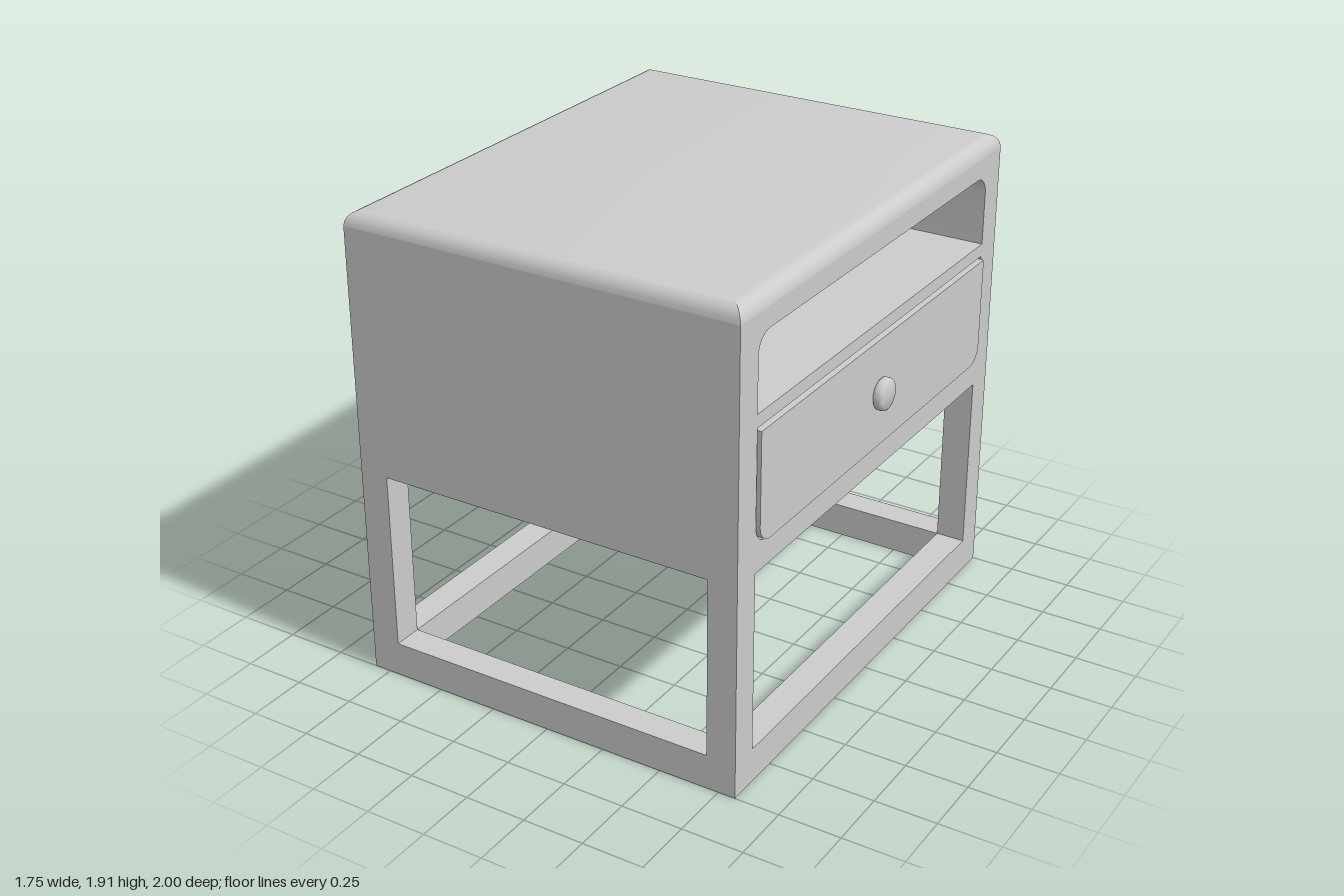
import * as THREE from 'three';
import { toCreasedNormals } from 'three/addons/utils/BufferGeometryUtils.js';

const W = 0.82, D = 1, H = 1.915;      // half width, half depth, height
const R = 0.06;                        // rounding of the top edges
const POST = 0.12, RAIL_H = 0.142, BODY_Y = 0.872;
const mat = new THREE.MeshStandardMaterial({ color: 0xcccccc });

function add(parent, name, geometry, x = 0, y = 0, z = 0) {
  const mesh = new THREE.Mesh(geometry, mat);
  mesh.name = name;
  mesh.position.set(x, y, z);
  parent.add(mesh);
  return mesh;
}

const box = (w, h, d) => new THREE.BoxGeometry(w, h, d);

// Rectangle centred on the vertical axis, with its top or bottom corners rounded
function panel(PathType, half, y0, y1, rBottom, rTop) {
  const p = new PathType();
  p.moveTo(-half + rBottom, y0);
  p.lineTo(half - rBottom, y0);
  if (rBottom) p.absarc(half - rBottom, y0 + rBottom, rBottom, -Math.PI / 2, 0);
  p.lineTo(half, y1 - rTop);
  if (rTop) p.absarc(half - rTop, y1 - rTop, rTop, 0, Math.PI / 2);
  p.lineTo(-half + rTop, y1);
  if (rTop) p.absarc(-half + rTop, y1 - rTop, rTop, Math.PI / 2, Math.PI);
  p.lineTo(-half, y0 + rBottom);
  if (rBottom) p.absarc(-half + rBottom, y0 + rBottom, rBottom, Math.PI, Math.PI * 1.5);
  return p;
}

// Extrude a z-y profile along x, centred on x = 0
function extrudeX(shape, depth) {
  const g = new THREE.ExtrudeGeometry(shape, { depth, bevelEnabled: false, curveSegments: 10 });
  g.translate(0, 0, -depth / 2);
  g.rotateY(Math.PI / 2);
  return toCreasedNormals(g, 0.5);
}

// Top cap: rectangular loops that shrink along a quarter circle, mitred at the corners
function topCap() {
  const pos = [], index = [], steps = 5;
  for (let i = 0; i <= steps; i++) {
    const a = (i / steps) * Math.PI / 2;
    const inset = R * (1 - Math.cos(a)), y = H - R + R * Math.sin(a);
    const x = W - inset, z = D - inset;
    pos.push(-x, y, z, x, y, z, x, y, -z, -x, y, -z);
  }
  for (let i = 0; i < steps; i++) {
    for (let k = 0; k < 4; k++) {
      const a = i * 4 + k, b = i * 4 + (k + 1) % 4;
      index.push(a, b, b + 4, a, b + 4, a + 4);
    }
  }
  const t = steps * 4;
  index.push(t, t + 1, t + 2, t, t + 2, t + 3);
  const g = new THREE.BufferGeometry();
  g.setAttribute('position', new THREE.Float32BufferAttribute(pos, 3));
  g.setIndex(index);
  return toCreasedNormals(g, 0.4);
}

export function createModel() {
  const model = new THREE.Group();
  model.name = 'bedsideTable';

  // Cabinet with an open shelf and a drawer bay running right through
  const shell = panel(THREE.Shape, D, BODY_Y, H - R, 0, 0);
  shell.holes.push(
    panel(THREE.Path, 0.88, 1.487, 1.775, 0, 0.075),
    panel(THREE.Path, 0.88, 0.98, 1.435, 0.075, 0),
  );
  add(model, 'cabinet', extrudeX(shell, 2 * W));
  add(model, 'top', topCap());

  // Open base: four posts on a rectangular floor frame
  for (const s of [-1, 1]) {
    for (const t of [-1, 1]) {
      add(model, 'post', box(POST, BODY_Y - RAIL_H, POST),
        s * (W - POST / 2), (BODY_Y + RAIL_H) / 2, t * (D - POST / 2));
    }
    add(model, 'sideRail', box(POST, RAIL_H, 2 * D), s * (W - POST / 2), RAIL_H / 2, 0);
    add(model, 'endRail', box(2 * (W - POST), RAIL_H, POST), 0, RAIL_H / 2, s * (D - POST / 2));
  }

  // Drawer that opens from both sides
  const drawer = new THREE.Group();
  drawer.name = 'drawer';
  model.add(drawer);
  add(drawer, 'drawerFloor', box(1.6, 0.04, 1.56), 0, 1.01, 0);
  const face = extrudeX(panel(THREE.Shape, 0.875, 0.985, 1.424, 0.072, 0), 0.06);
  const knob = toCreasedNormals(new THREE.LatheGeometry([
    [0.05, -0.01], [0.056, 0], [0.063, 0.006], [0.064, 0.012], [0.064, 0.026],
    [0.061, 0.034], [0.054, 0.039], [0, 0.04],
  ].map(([r, y]) => new THREE.Vector2(r, y)), 40), 0.7);
  for (const s of [-1, 1]) {
    add(drawer, 'drawerWall', box(1.6, 0.36, 0.04), 0, 1.2, s * 0.78);
    add(drawer, 'drawerFront', face, s * 0.804, 0, 0);
    add(drawer, 'knob', knob, s * 0.834, 1.205, 0).rotation.z = -s * Math.PI / 2;
  }
  return model;
}
